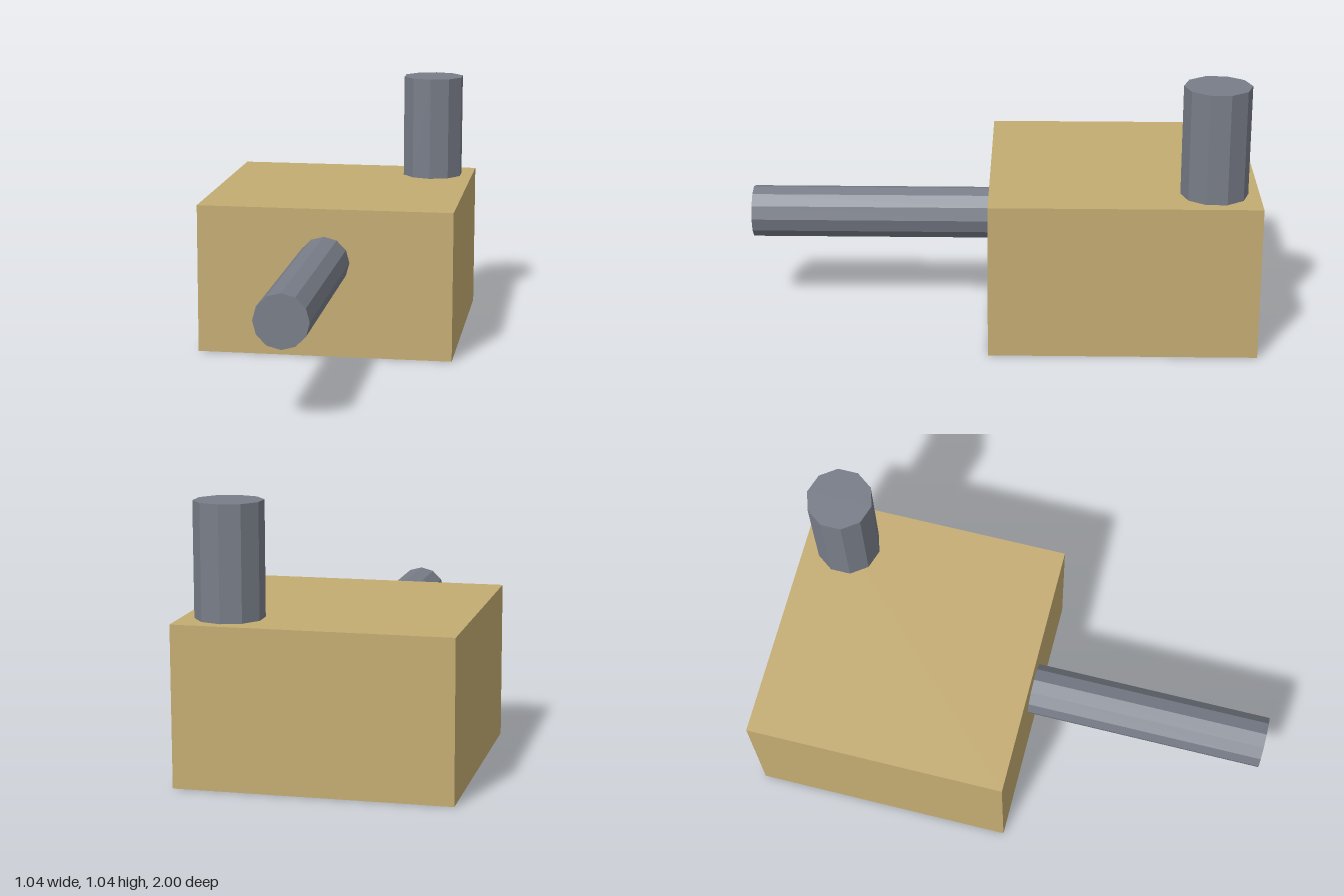
import * as THREE from 'three';

export function createModel() {
  const model = new THREE.Group();
  const tan = new THREE.MeshStandardMaterial({ name: 'tan', color: 0xc4ac72 });
  const grey = new THREE.MeshStandardMaterial({ name: 'slateGrey', color: 0x787d88 });
  tan.flatShading = grey.flatShading = true;

  const add = (name, geometry, material, x, y, z) => {
    const mesh = new THREE.Mesh(geometry, material);
    mesh.name = name;
    mesh.position.set(x, y, z);
    model.add(mesh);
    return mesh;
  };

  // Block body
  const bodyFront = 0.04, bodyTop = 0.61;
  add('body', new THREE.BoxGeometry(1.042, bodyTop, 1.04), tan, 0, bodyTop / 2, -0.48);

  // Twelve-sided barrel pointing forward
  const barrelLength = 1 - bodyFront;
  const barrel = add('barrel', new THREE.CylinderGeometry(0.104, 0.104, barrelLength, 12), grey,
    0, 0.393, bodyFront + barrelLength / 2);
  barrel.rotation.x = Math.PI / 2;

  // Ten-sided post on the rear left corner
  const postHeight = 1.043 - bodyTop;
  add('post', new THREE.CylinderGeometry(0.13, 0.13, postHeight, 10), grey,
    0.347, bodyTop + postHeight / 2, -0.826);

  return model;
}
